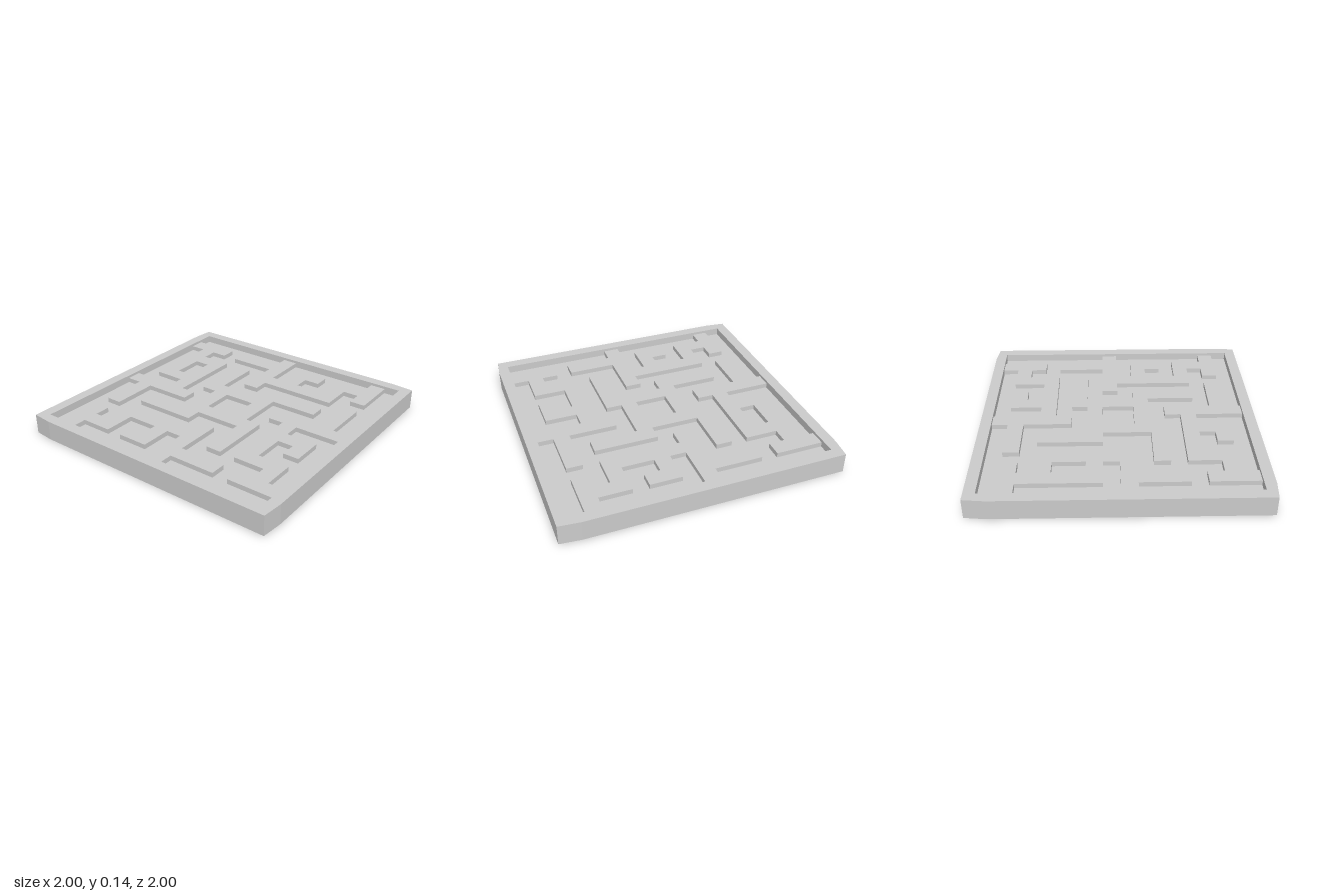
import * as THREE from 'three';

const HALF = 0.92, CELLS = 16, HEIGHT = 0.145;
const material = new THREE.MeshStandardMaterial({ color: 0xcccccc, flatShading: true });

// Grid corner (column, row) to plan position (x, z)
const toPlan = ([c, r]) => new THREE.Vector2((c / CELLS * 2 - 1) * HALF, (r / CELLS * 2 - 1) * HALF);
const grid = (corners) => corners.map(toPlan);
const turn = (corners) => corners.map(([c, r]) => [CELLS - c, CELLS - r]);
const back = (corners) => [...corners].reverse();
const rect = (c0, r0, c1, r1) => [[c0, r0], [c1, r0], [c1, r1], [c0, r1]];

// Slab with a plan outline, between two heights
function slab(name, outline, holes, bottom, top) {
  const shape = new THREE.Shape(outline);
  shape.holes = holes.map((h) => new THREE.Path(h));
  const geometry = new THREE.ExtrudeGeometry(shape, { depth: top - bottom, bevelEnabled: false });
  geometry.rotateX(Math.PI / 2).translate(0, top, 0);
  const mesh = new THREE.Mesh(geometry, material);
  mesh.name = name;
  return mesh;
}

export function createModel() {
  const model = new THREE.Group();
  model.name = 'mazePanel';

  // Edges of the raised walls, in grid corners
  const sideOuter = [[0, 1], [3, 1], [3, 2], [2, 2], [2, 3], [4, 3], [4, 8], [5, 8], [5, 9],
    [2, 9], [2, 12], [1, 12], [1, 9], [0, 9]];
  const sideInner = [[0, 2], [1, 2], [1, 4], [3, 4], [3, 6], [2, 6], [2, 5], [1, 5], [1, 7],
    [3, 7], [3, 8], [0, 8]];
  const endOuter = [[7, 0], [7, 1], [4, 1], [4, 2], [7, 2], [7, 5], [8, 5], [8, 4], [13, 4],
    [13, 2], [14, 2], [14, 3], [15, 3], [15, 0]];
  const backInner = [[8, 0], [8, 3], [9, 3], [9, 1], [14, 1], [14, 0]];
  const frontInner = [[8, 16], [8, 13], [7, 13], [7, 15], [5, 15], [5, 14], [6, 14], [6, 13],
    [4, 13], [4, 15], [2, 15], [2, 16]];
  const centre = [[5, 3], [6, 3], [6, 6], [9, 6], [9, 5], [13, 5], [13, 6], [10, 6], [10, 9], [11, 9],
    [11, 13], [10, 13], [10, 10], [7, 10], [7, 11], [3, 11], [3, 10], [6, 10], [6, 7], [5, 7]];
  const centrePit = rect(7, 7, 9, 9);
  const backPit = rect(10, 2, 12, 3);

  // Raised walls, hollow beneath
  const wall = (name, outline, holes = []) =>
    model.add(slab(name, grid(outline), holes.map(grid), 0.07, 0.125));
  const sideWall = [...sideOuter, ...back(sideInner)];
  wall('rightWall', sideWall);
  wall('leftWall', turn(sideWall));
  wall('backWall', [...endOuter, ...back(backInner)], [backPit]);
  wall('frontWall', [...turn(endOuter), ...back(frontInner)]);
  wall('centreWall', centre, [centrePit]);

  // Sunken floors between the walls
  const floor = (name, outline, holes = []) =>
    model.add(slab(name, grid(outline), holes.map(grid), 0.04, 0.09));
  floor('mainFloor', [[0, 0], ...sideOuter, [0, 16], ...back(turn(endOuter)),
    [16, 16], ...turn(sideOuter), [16, 0], ...back(endOuter)], [centre]);
  floor('rightFloor', sideInner);
  floor('leftFloor', turn(sideInner));
  floor('backFloor', backInner);
  floor('frontFloor', frontInner);
  floor('centreFloor', centrePit);
  floor('backPitFloor', backPit);

  // Frame, each corner slightly skewed by the same quarter-turn rule
  const outline = [];
  let a = [1, 0.85], b = [0.985, 1];
  for (let i = 0; i < 4; i++) {
    outline.push(new THREE.Vector2(...a), new THREE.Vector2(...b));
    a = [-a[1], a[0]];
    b = [-b[1], b[0]];
  }
  model.add(slab('frame', outline, [grid(rect(0, 0, 16, 16))], 0, HEIGHT));

  return model;
}
